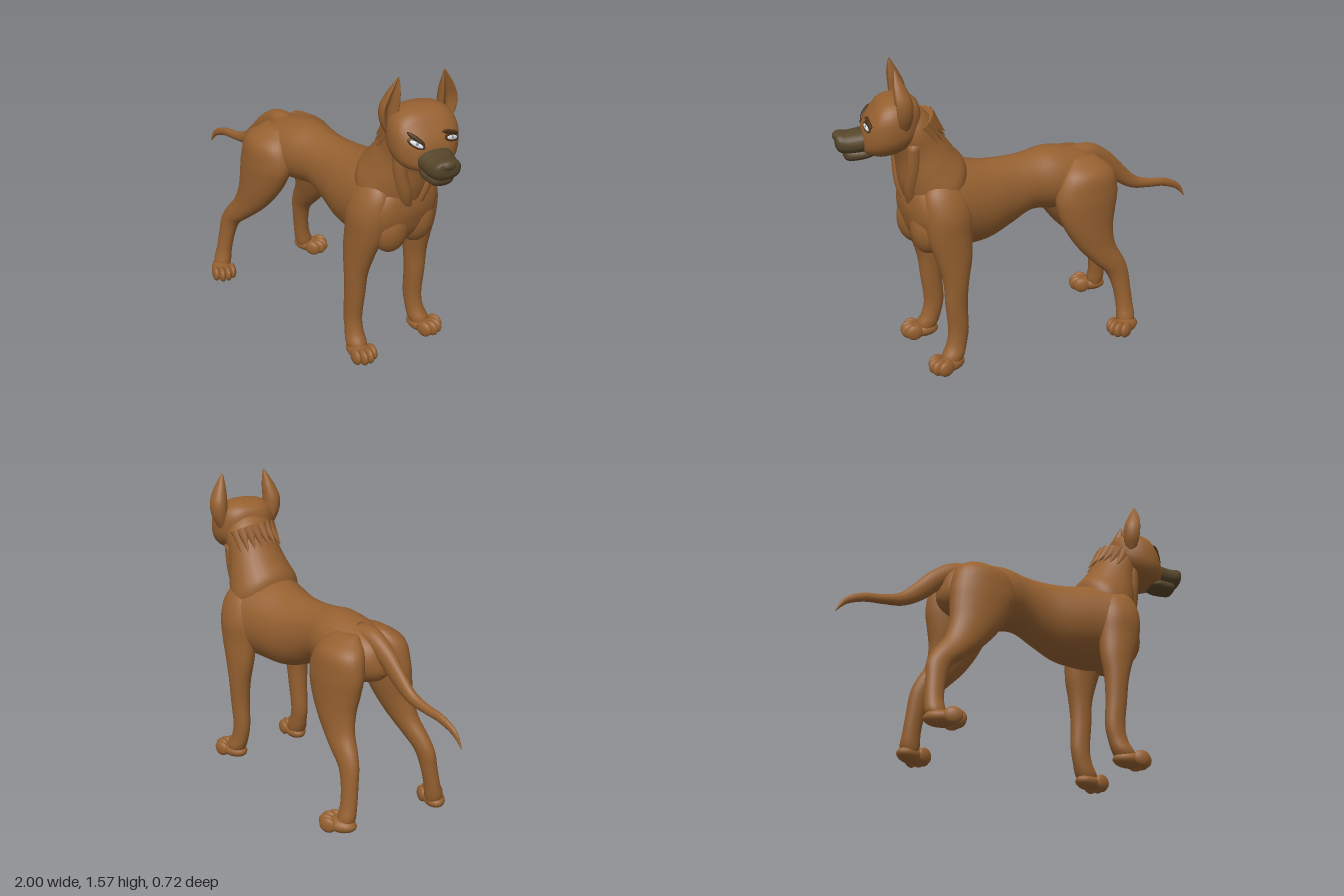
import * as THREE from 'three';

const mat = (name, color) => Object.assign(new THREE.MeshStandardMaterial({ color }), { name });

// Smooth skin over oval sections [x, y, z, radiusU, radiusZ, tilt]; U lies in the xy plane at the tilt in degrees.
// square < 1 makes the ovals boxier, dent hollows the +U side.
function loft(name, material, rows, { square = 1, dent = 0, seg = 28, steps = 5 } = {}) {
  const path = new THREE.CatmullRomCurve3(rows.map(r => new THREE.Vector3(r[0], r[1], r[2])), false, 'catmullrom');
  const size = new THREE.CatmullRomCurve3(rows.map(r => new THREE.Vector3(r[3], r[4], r[5] ?? 0)), false, 'catmullrom');
  const n = (rows.length - 1) * steps, pos = [], idx = [];
  const pw = v => Math.sign(v) * Math.abs(v) ** square;
  for (let i = 0; i <= n; i++) {
    const c = path.getPoint(i / n), s = size.getPoint(i / n), t = THREE.MathUtils.degToRad(s.z);
    for (let j = 0; j < seg; j++) {
      const a = j / seg * Math.PI * 2;
      const k = 1 - dent * Math.max(0, Math.cos(a)) ** 3;
      const u = Math.max(s.x, 0.002) * pw(Math.cos(a)) * k;
      pos.push(c.x + Math.cos(t) * u, c.y + Math.sin(t) * u, c.z + Math.max(s.y, 0.002) * pw(Math.sin(a)));
    }
  }
  const t0 = THREE.MathUtils.degToRad(rows[1][5] ?? 0), d = path.getPoint(1).sub(path.getPoint(0));
  const flip = d.x * Math.sin(t0) - d.y * Math.cos(t0) < 0;
  const tri = (a, b, c) => flip ? idx.push(a, c, b) : idx.push(a, b, c);
  for (let i = 0; i < n; i++) for (let j = 0; j < seg; j++) {
    const k = (j + 1) % seg, a = i * seg + j, b = i * seg + k;
    tri(a, b, a + seg);
    tri(b, b + seg, a + seg);
  }
  // end caps
  const end = (n + 1) * seg;
  pos.push(...path.getPoint(0).toArray(), ...path.getPoint(1).toArray());
  for (let j = 0; j < seg; j++) {
    const k = (j + 1) % seg;
    tri(end, k, j);
    tri(end + 1, n * seg + j, n * seg + k);
  }
  const g = new THREE.BufferGeometry();
  g.setAttribute('position', new THREE.Float32BufferAttribute(pos, 3));
  g.setIndex(idx);
  g.computeVertexNormals();
  const m = new THREE.Mesh(g, material);
  m.name = name;
  return m;
}

function ball(name, material, p, r) {
  const m = new THREE.Mesh(new THREE.SphereGeometry(1, 20, 14), material);
  m.name = name;
  m.position.set(...p);
  m.scale.set(...r);
  return m;
}

function paw(name, material, x, z, yaw) {
  const g = new THREE.Group();
  g.name = name;
  g.add(ball('pawPad', material, [-0.01, 0.045, 0], [0.085, 0.04, 0.056]));
  [-0.046, -0.016, 0.016, 0.046].forEach((tz, i) => {
    const fx = i % 3 ? 0.062 : 0.042;
    g.add(ball('toe', material, [fx, 0.048, tz], [0.045, 0.042, 0.021]));
  });
  g.position.set(x, 0, z);
  g.rotation.y = yaw;
  return g;
}

export function createModel() {
  const coat = mat('brownCoat', 0x956030), dark = mat('darkMuzzle', 0x55452a), brow = mat('browBrown', 0x4a3018);
  const white = mat('eyeWhite', 0xd8dce0), iris = mat('irisGrey', 0x7f92a2);
  const dog = new THREE.Group();
  dog.name = 'dog';

  // trunk, neck and tail
  dog.add(loft('torso', coat, [
    [-0.46, 0.82, 0, 0.03, 0.03, 90], [-0.43, 0.84, 0, 0.09, 0.08, 90], [-0.36, 0.85, 0, 0.13, 0.13, 90],
    [-0.25, 0.85, 0, 0.165, 0.165, 90], [-0.12, 0.867, 0, 0.168, 0.16, 90], [0, 0.865, 0, 0.155, 0.135, 90],
    [0.12, 0.835, 0, 0.18, 0.14, 90], [0.25, 0.815, 0, 0.207, 0.175, 90], [0.38, 0.825, 0, 0.225, 0.205, 90],
    [0.5, 0.835, 0, 0.225, 0.23, 90], [0.6, 0.835, 0, 0.185, 0.215, 90], [0.66, 0.845, 0, 0.125, 0.155, 90],
    [0.685, 0.85, 0, 0.03, 0.05, 90]]));
  dog.add(loft('neck', coat, [
    [0.46, 0.86, 0, 0.14, 0.17, 135], [0.51, 0.95, 0, 0.18, 0.195, 140], [0.56, 1.05, 0, 0.16, 0.17, 148],
    [0.60, 1.16, 0, 0.128, 0.142, 150], [0.65, 1.27, 0.005, 0.112, 0.135, 150], [0.69, 1.36, 0.01, 0.06, 0.08, 150]]));
  dog.add(loft('tail', coat, [
    [-0.27, 0.96, 0, 0.05, 0.06, 90], [-0.38, 0.95, 0, 0.055, 0.05, 100], [-0.48, 0.885, 0, 0.053, 0.04, 120],
    [-0.57, 0.80, 0, 0.046, 0.031, 128], [-0.66, 0.738, 0, 0.034, 0.026, 110], [-0.76, 0.714, 0, 0.025, 0.021, 95],
    [-0.86, 0.70, 0, 0.023, 0.017, 105], [-0.95, 0.66, 0, 0.017, 0.011, 130], [-1, 0.595, 0, 0.002, 0.002, 150]]));

  // jagged ruff behind the skull
  for (let i = -4; i <= 4; i++) {
    const a = i * 0.3;
    const tuft = new THREE.Mesh(new THREE.ConeGeometry(0.034, 0.13, 8), coat);
    tuft.name = 'ruffTuft';
    const out = new THREE.Vector3(-0.87 * Math.cos(a), 0.5 * Math.cos(a), Math.sin(a));
    tuft.position.set(0.615, 1.205, 0.005).addScaledVector(out, 0.126);
    const dir = new THREE.Vector3(-0.5, -0.87, 0).addScaledVector(out, 0.2).normalize();
    tuft.quaternion.setFromUnitVectors(new THREE.Vector3(0, 1, 0), dir);
    dog.add(tuft);
  }

  // legs, mirrored, with the right ones set further forward
  for (const s of [1, -1]) {
    const side = s > 0 ? 'left' : 'right', far = s < 0 ? 1 : 0;
    const place = (rows, top, span, dx) => rows.map(([x, y, z, ...r]) =>
      [x + far * dx * THREE.MathUtils.clamp((top - y) / span, 0, 1), y, z * s, ...r]);
    dog.add(loft(side + 'FrontLeg', coat, place([
      [0.54, 1.03, 0.11, 0.03, 0.03], [0.53, 0.95, 0.145, 0.1, 0.065], [0.52, 0.84, 0.165, 0.122, 0.085],
      [0.51, 0.72, 0.172, 0.115, 0.078], [0.487, 0.6, 0.183, 0.093, 0.066], [0.475, 0.48, 0.19, 0.066, 0.056],
      [0.468, 0.36, 0.19, 0.058, 0.048], [0.456, 0.22, 0.19, 0.054, 0.042], [0.47, 0.14, 0.193, 0.054, 0.043],
      [0.495, 0.08, 0.2, 0.06, 0.05], [0.505, 0.03, 0.2, 0.04, 0.035]], 0.8, 0.5, 0.035)));
    dog.add(paw(side + 'FrontPaw', coat, 0.53 + far * 0.03, 0.207 * s, -0.2 * s));
    dog.add(loft(side + 'HindLeg', coat, place([
      [-0.28, 0.98, 0.09, 0.07, 0.04], [-0.285, 0.91, 0.135, 0.145, 0.09], [-0.285, 0.8, 0.15, 0.178, 0.095],
      [-0.305, 0.7, 0.157, 0.165, 0.09], [-0.34, 0.6, 0.168, 0.135, 0.078], [-0.4, 0.5, 0.182, 0.107, 0.063],
      [-0.485, 0.41, 0.198, 0.088, 0.052], [-0.545, 0.34, 0.208, 0.064, 0.044], [-0.568, 0.25, 0.22, 0.05, 0.04],
      [-0.58, 0.15, 0.235, 0.047, 0.04], [-0.58, 0.08, 0.25, 0.05, 0.046], [-0.575, 0.04, 0.25, 0.035, 0.035]],
    0.85, 0.5, 0.11)));
    dog.add(paw(side + 'HindPaw', coat, -0.55 + far * 0.105, 0.275 * s, -0.4 * s));
    dog.add(ball(side + 'ChestMuscle', coat, [0.595, 0.75, 0.085 * s], [0.088, 0.13, 0.1]));
    // tendon running from the jaw to the breastbone
    dog.add(loft(side + 'NeckTendon', coat, [[0.64, 0.84, 0.025 * s, 0.03, 0.03], [0.665, 0.95, 0.06 * s, 0.036, 0.036],
      [0.665, 1.06, 0.09 * s, 0.036, 0.036], [0.665, 1.2, 0.11 * s, 0.03, 0.03]]));
  }

  // head, turned a little to its left
  const head = new THREE.Group();
  head.name = 'head';
  const skull = loft('skull', coat, [
    [-0.11, 1.3, 0, 0.03, 0.04, 90], [-0.09, 1.3, 0, 0.09, 0.1, 90], [-0.04, 1.295, 0, 0.125, 0.148, 90],
    [0.03, 1.285, 0, 0.143, 0.168, 90], [0.09, 1.27, 0, 0.138, 0.163, 90], [0.13, 1.25, 0, 0.112, 0.142, 90],
    [0.16, 1.232, 0, 0.086, 0.108, 90], [0.178, 1.215, 0, 0.06, 0.07, 90], [0.184, 1.21, 0, 0.01, 0.01, 90]],
  { square: 0.78, seg: 40 });
  head.add(skull);
  head.add(loft('muzzle', dark, [
    [0.13, 1.212, 0, 0.05, 0.07, 90], [0.165, 1.212, 0, 0.056, 0.087, 90], [0.21, 1.205, 0, 0.055, 0.082, 90],
    [0.25, 1.202, 0, 0.053, 0.077, 90], [0.285, 1.208, 0, 0.05, 0.07, 90], [0.303, 1.216, 0, 0.036, 0.052, 90],
    [0.308, 1.218, 0, 0.01, 0.015, 90]], { square: 0.85 }));
  head.add(loft('lowerJaw', dark, [
    [0.12, 1.15, 0, 0.02, 0.05, 90], [0.16, 1.15, 0, 0.03, 0.07, 90], [0.21, 1.145, 0, 0.033, 0.066, 90],
    [0.25, 1.145, 0, 0.033, 0.056, 90], [0.268, 1.15, 0, 0.02, 0.035, 90], [0.272, 1.15, 0, 0.005, 0.01, 90]],
  { square: 0.85 }));
  head.add(ball('nose', dark, [0.293, 1.235, 0], [0.024, 0.024, 0.038]));

  const ray = new THREE.Raycaster();
  for (const s of [1, -1]) {
    head.add(loft(s > 0 ? 'leftEar' : 'rightEar', coat, [
      [-0.01, 1.28, 0.13 * s, 0.03, 0.025], [-0.005, 1.35, 0.147 * s, 0.052, 0.042], [0, 1.42, 0.15 * s, 0.056, 0.046],
      [0.01, 1.48, 0.14 * s, 0.044, 0.036], [0.017, 1.53, 0.128 * s, 0.024, 0.02], [0.02, 1.572, 0.117 * s, 0.003, 0.003]],
    { dent: 1.1 }));
    // thin face details set on the skull surface
    const detail = (name, m, y, z, r, roll) => {
      ray.set(new THREE.Vector3(1, y, z * s), new THREE.Vector3(-1, 0, 0));
      const hit = ray.intersectObject(skull)[0];
      if (!hit) return;
      const b = ball(name, m, hit.point.toArray(), r);
      b.quaternion.setFromUnitVectors(new THREE.Vector3(0, 0, 1), hit.face.normal);
      b.rotateZ(roll * s);
      head.add(b);
    };
    detail('eyeRim', brow, 1.297, 0.09, [0.046, 0.02, 0.006], -0.25);
    detail('eyeWhite', white, 1.296, 0.09, [0.038, 0.013, 0.009], -0.25);
    detail('iris', iris, 1.297, 0.088, [0.011, 0.011, 0.011], 0);
    detail('brow', brow, 1.319, 0.088, [0.05, 0.011, 0.014], -0.3);
  }
  head.position.set(0.69, 0, 0.015);
  head.rotation.y = -0.28;
  dog.add(head);
  return dog;
}
